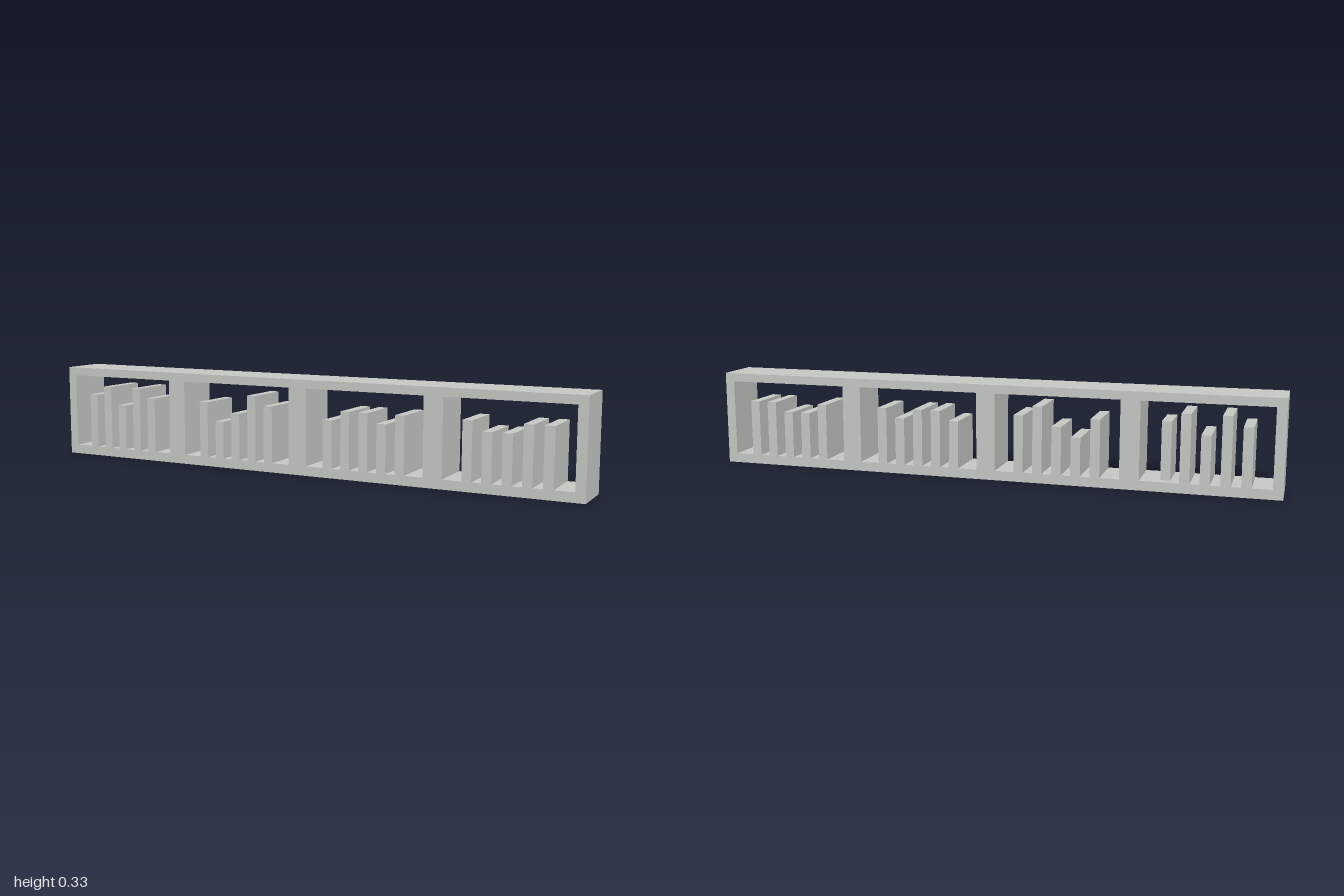
import * as THREE from 'three';

const UNIT = 1 / 30; // the shelf is 60 x 10 x 5 modules
const DEPTH = 5;

export function createModel() {
  const model = new THREE.Group();
  model.name = 'bookshelf';
  const material = new THREE.MeshStandardMaterial({ color: 0xc5c9c4 });
  material.name = 'pale grey';

  // Frame: one slab pierced by four open bays
  const bayCentres = [-22.5, -7.5, 7.5, 22.5];
  const rect = (Type, x0, y0, x1, y1) => new Type([
    new THREE.Vector2(x0, y0), new THREE.Vector2(x1, y0),
    new THREE.Vector2(x1, y1), new THREE.Vector2(x0, y1),
  ].map((p) => p.multiplyScalar(UNIT)));
  const outline = rect(THREE.Shape, -30, 0, 30, 10);
  for (const c of bayCentres) {
    outline.holes.push(rect(THREE.Path, c - 6.5, 1, c + 6.5, 9.1));
  }
  const frameGeometry = new THREE.ExtrudeGeometry(outline, { depth: DEPTH * UNIT, bevelEnabled: false });
  frameGeometry.translate(0, 0, -DEPTH * UNIT / 2);
  const frame = new THREE.Mesh(frameGeometry, material);
  frame.name = 'frame';
  model.add(frame);

  // Books: five per bay, listed by the height of their tops
  const bookTops = [
    [7, 8, 6, 8, 7],
    [7, 5, 6, 8, 7],
    [6, 7, 7, 6, 7],
    [7, 6, 6, 7, 7],
  ];
  bookTops.forEach((tops, bay) => {
    const row = new THREE.Group();
    row.name = `bookRow${bay + 1}`;
    tops.forEach((top, i) => {
      // The last book of the first bay is shallower at the back
      const depth = bay === 0 && i === 4 ? DEPTH - 1 : DEPTH;
      const height = top - 1;
      const book = new THREE.Mesh(new THREE.BoxGeometry(UNIT, height * UNIT, depth * UNIT), material);
      book.position.set(bayCentres[bay] + (i - 2) * 2, 1 + height / 2, (DEPTH - depth) / 2).multiplyScalar(UNIT);
      book.name = `book${i + 1}`;
      row.add(book);
    });
    model.add(row);
  });

  return model;
}
